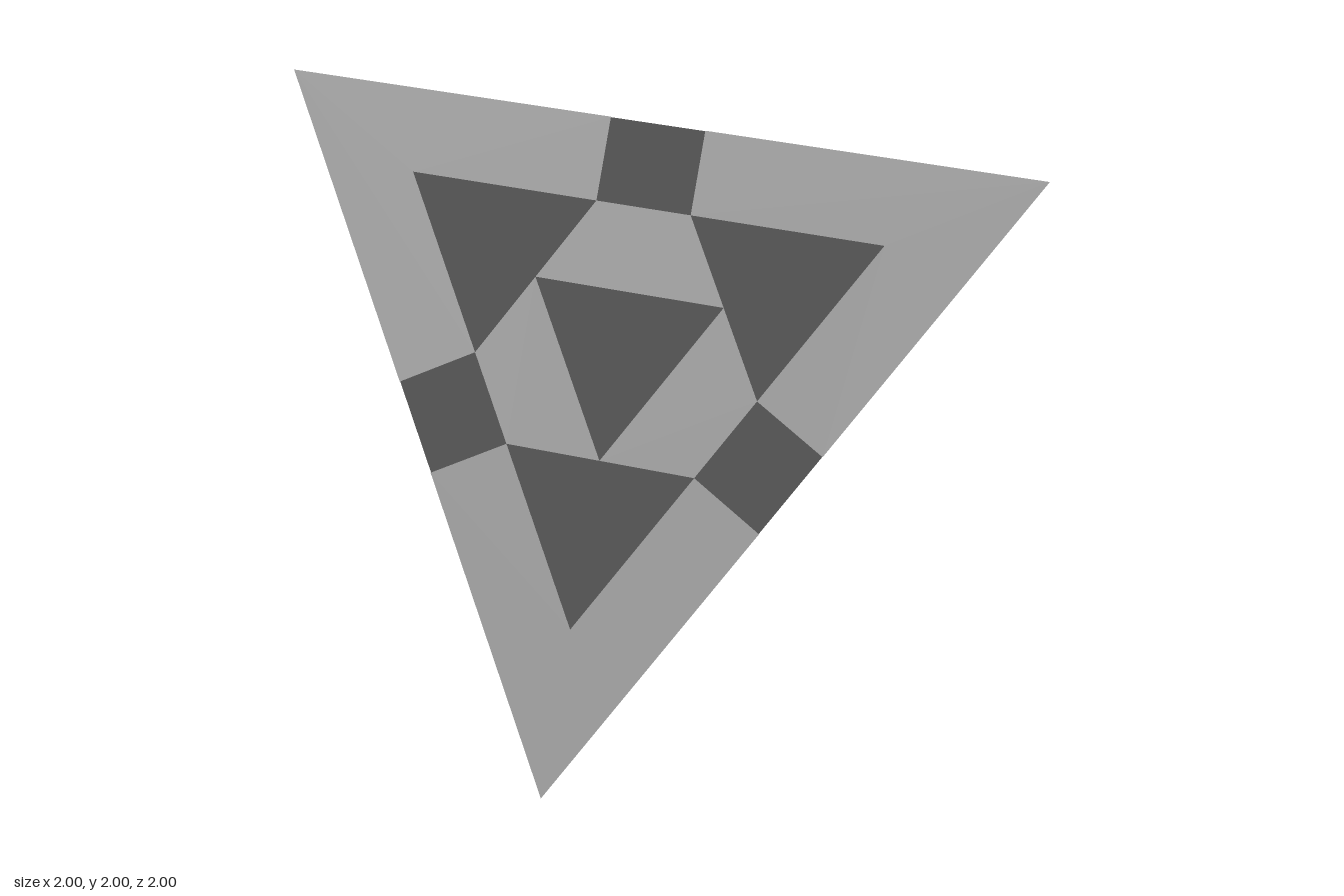
import * as THREE from 'three';

const grey = new THREE.MeshStandardMaterial({ color: 0x8c8c8c, flatShading: true, side: THREE.DoubleSide });
const dark = new THREE.MeshStandardMaterial({ color: 0x1c1c1c, flatShading: true });
const faceAxis = new THREE.Vector3(-1, 1, 1).normalize();

// Flat panel drawn in x, y and laid on the sloping face z = 1 + x - y,
// then turned about the face's centre by thirds.
function panel(name, points, third) {
  const shape = new THREE.Shape(points.map(([x, y]) => new THREE.Vector2(x, y)));
  const geometry = new THREE.ShapeGeometry(shape);
  const p = geometry.attributes.position;
  for (let i = 0; i < p.count; i++) p.setZ(i, 1 + p.getX(i) - p.getY(i));
  geometry.applyMatrix4(new THREE.Matrix4().makeRotationAxis(faceAxis, third * Math.PI * 2 / 3));
  geometry.computeVertexNormals();
  const mesh = new THREE.Mesh(geometry, grey);
  mesh.name = name;
  return mesh;
}

// Border around one corner, ending at the gaps in the middle of two edges
const cornerBorder = [[-0.125, 1], [-1, 1], [-1, 0.125], [-0.75, 0.25], [-0.75, 0.75], [-0.25, 0.75]];
// Bar beside the middle triangle
const innerBar = [[-0.25, 0.75], [-0.5, 0.5], [0, 0.5], [0, 0.75]];

function faceInlay() {
  const face = new THREE.Group();
  face.name = 'faceInlay';
  for (let k = 0; k < 3; k++) {
    face.add(panel('cornerBorder', cornerBorder, k), panel('innerBar', innerBar, k));
  }
  return face;
}

export function createModel() {
  const model = new THREE.Group();
  model.name = 'pyramid';

  // Dark core, a hair smaller than the inlay
  const core = new THREE.Mesh(new THREE.TetrahedronGeometry(Math.sqrt(3) * 0.998), dark);
  core.name = 'core';
  core.position.y = 1;
  model.add(core);

  // Four faces, related by half turns about the axes
  for (const turn of [[0, 0, 0], [Math.PI, 0, 0], [0, Math.PI, 0], [0, 0, Math.PI]]) {
    const face = faceInlay();
    face.rotation.set(...turn);
    face.position.y = 1;
    model.add(face);
  }
  return model;
}
